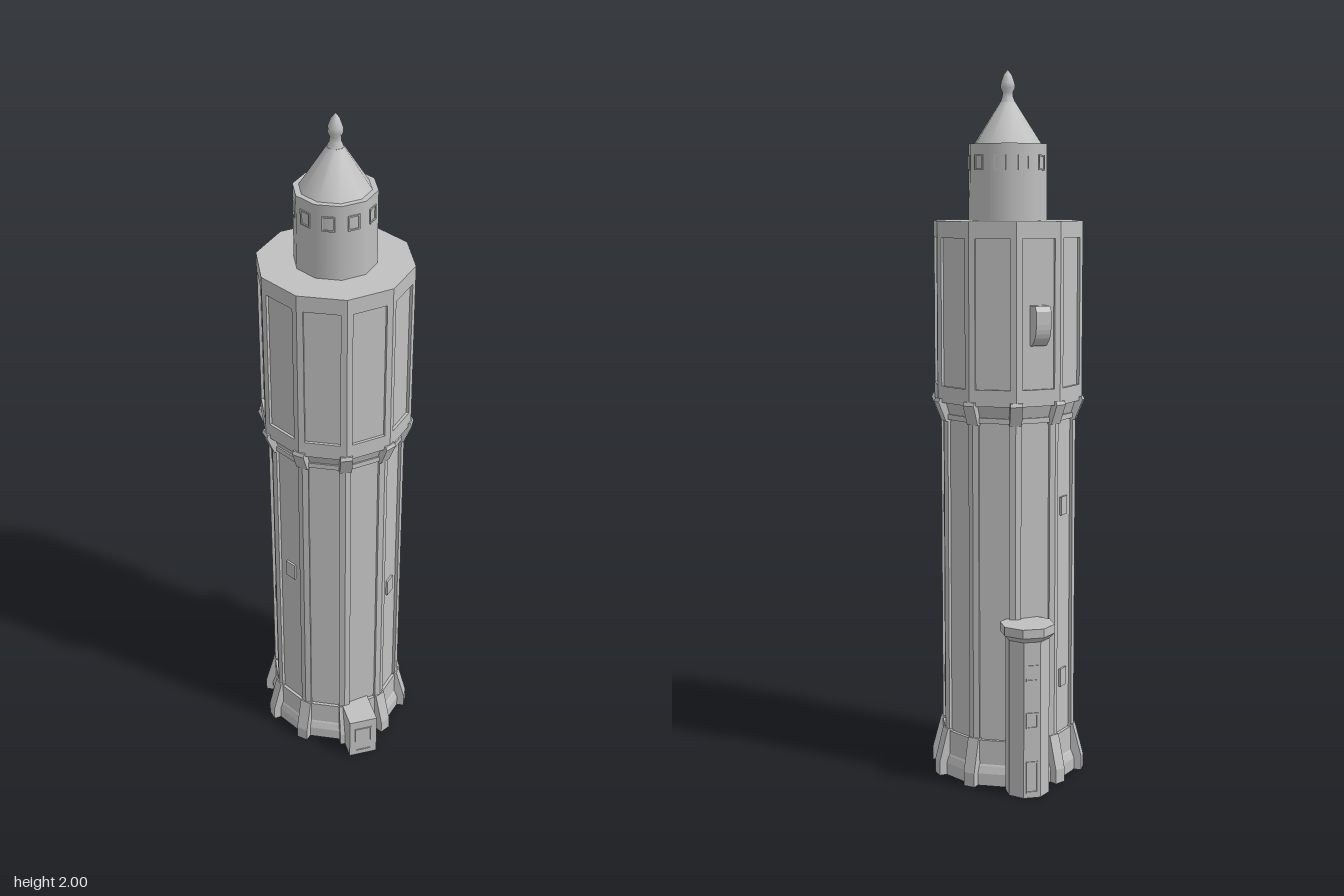
import * as THREE from 'three';

const rad = THREE.MathUtils.degToRad;
const SIDES = 10;
const cos18 = Math.cos(Math.PI / SIDES);

export function createModel() {
  const model = new THREE.Group();
  model.name = 'waterTower';
  const tower = new THREE.Group();
  tower.name = 'tower';
  tower.position.z = 0.0125;
  model.add(tower);

  const stone = new THREE.MeshStandardMaterial({ color: 0xc0c0c0 });
  stone.name = 'greyStone';

  function add(name, geometry, parent = tower) {
    const mesh = new THREE.Mesh(geometry, stone);
    mesh.name = name;
    parent.add(mesh);
    return mesh;
  }

  // Flat-sided prism or frustum between heights y0 and y1
  function prism(name, rBottom, rTop, y0, y1, n = SIDES, start = 18, smooth = false) {
    let g = new THREE.CylinderGeometry(rTop, rBottom, y1 - y0, n, 1, false, rad(start));
    if (!smooth) {
      g = g.toNonIndexed();
      g.computeVertexNormals();
    }
    g.translate(0, (y0 + y1) / 2, 0);
    return add(name, g);
  }

  // Turns a part's +z outward at an angle measured from +x towards +z
  function face(mesh, deg, r, y) {
    mesh.rotation.y = rad(90 - deg);
    mesh.position.set(r * Math.cos(rad(deg)), y, r * Math.sin(rad(deg)));
    return mesh;
  }

  // Rectangular frame with an opening, its back at z = 0
  function frame(w, h, sideMargin, bottom, top, depth) {
    const s = new THREE.Shape();
    s.moveTo(-w / 2, 0).lineTo(w / 2, 0).lineTo(w / 2, h).lineTo(-w / 2, h).closePath();
    const x = w / 2 - sideMargin;
    const hole = new THREE.Path();
    hole.moveTo(-x, bottom).lineTo(-x, h - top).lineTo(x, h - top).lineTo(x, bottom).closePath();
    s.holes.push(hole);
    return new THREE.ExtrudeGeometry(s, { depth, bevelEnabled: false });
  }

  // Radial fin from (radius, height) points
  function fin(points, width) {
    const s = new THREE.Shape(points.map(([x, y]) => new THREE.Vector2(x, y)));
    const g = new THREE.ExtrudeGeometry(s, { depth: width, bevelEnabled: false });
    return g.translate(0, 0, -width / 2);
  }

  // Ten-sided storey: recessed core with a framed panel on every face
  function storey(name, R, y0, y1, bottom, top, recess) {
    const a = R * cos18;
    prism(name + 'Core', R - recess / cos18, R - recess / cos18, y0, y1);
    const side = 2 * R * Math.sin(Math.PI / SIDES);
    for (let i = 0; i < SIDES; i++) {
      const m = add(name + 'PanelFrame', frame(side, y1 - y0, 0.017, bottom, top, recess));
      face(m, 18 + i * 36, a - recess, y0);
    }
  }

  // Main shaft and upper drum
  storey('shaft', 0.196, 0.05, 1.05, 0.08, 0.015, 0.009);
  storey('drum', 0.214, 1.085, 1.585, 0.045, 0.045, 0.008);
  prism('drumRoof', 0.214, 0.214, 1.575, 1.586);
  prism('drumFloor', 0.214, 0.214, 1.084, 1.095);
  prism('drumFlare', 0.188, 0.203, 1.04, 1.085);

  // Stepped plinth
  prism('plinth', 0.206, 0.206, 0, 0.035);
  prism('plinthSlope', 0.206, 0.199, 0.035, 0.055);
  prism('plinthTop', 0.199, 0.19, 0.055, 0.07);

  // Buttresses at the foot and brackets under the drum, one per corner
  const buttress = fin([[0.15, 0], [0.222, 0], [0.222, 0.04], [0.197, 0.135], [0.15, 0.135]], 0.034);
  const bracket = fin([[0.15, 1.03], [0.197, 1.03], [0.219, 1.085], [0.215, 1.095], [0.15, 1.095]], 0.034);
  for (let i = 0; i < SIDES; i++) {
    add('buttress', buttress).rotation.y = -rad(i * 36);
    add('bracket', bracket).rotation.y = -rad(i * 36);
  }

  // Shaft windows: [face angle, height]
  const shaftWindow = new THREE.BoxGeometry(0.034, 0.052, 0.009);
  for (const [deg, y] of [[126, 0.625], [162, 0.98], [162, 0.45], [18, 0.53],
    [-18, 0.78], [-18, 0.275], [198, 0.79], [198, 0.29]]) {
    face(add('shaftWindow', shaftWindow), deg, 0.196 * cos18 - 0.0075, y);
  }

  // Lantern with a ring of windows
  prism('lantern', 0.112, 0.112, 1.58, 1.797, SIDES, 18, true);
  const lanternFrame = frame(0.034, 0.042, 0.004, 0.004, 0.004, 0.004);
  for (let i = 0; i < SIDES; i++) {
    face(add('lanternWindow', lanternFrame), 18 + i * 36, 0.112 * cos18 - 0.001, 1.724);
  }

  // Conical roof and finial
  prism('coneRoof', 0.096, 0.023, 1.797, 1.91, SIDES, 18, true);
  const finialProfile = [[0.023, 1.908], [0.016, 1.925], [0.015, 1.938], [0.021, 1.95],
    [0.02, 1.963], [0.012, 1.985], [0, 2]];
  add('finial', new THREE.LatheGeometry(
    finialProfile.map(([x, y]) => new THREE.Vector2(x, y)), SIDES, rad(18)));

  // Small oriel on the drum with a curved underside
  const oriel = new THREE.Shape();
  oriel.moveTo(0.19, 1.25).lineTo(0.203, 1.25);
  oriel.quadraticCurveTo(0.235, 1.265, 0.236, 1.31);
  oriel.lineTo(0.236, 1.345).lineTo(0.228, 1.36).lineTo(0.19, 1.36).closePath();
  const orielGeometry = new THREE.ExtrudeGeometry(oriel,
    { depth: 0.045, bevelEnabled: false, curveSegments: 6 });
  add('oriel', orielGeometry.translate(0, 0, -0.0225)).rotation.y = -rad(234);

  // Entrance porch with a door
  const porch = new THREE.Group();
  porch.name = 'porch';
  porch.rotation.y = rad(90 - 64);
  porch.position.set(0.127, 0, 0.24);
  tower.add(porch);
  add('porchBlock', new THREE.BoxGeometry(0.085, 0.138, 0.12).translate(0, 0.069, -0.06), porch);
  add('porchDoor', frame(0.052, 0.092, 0.004, 0.004, 0.004, 0.004).translate(0, 0.016, -0.001), porch);

  // Octagonal stair turret at the back
  const tx = -0.098, tz = -0.2075;
  const turretParts = [
    prism('turretBody', 0.062, 0.062, 0, 0.46, 8, 2),
    prism('turretCornice', 0.062, 0.077, 0.445, 0.46, 8, 2),
    prism('turretCap', 0.077, 0.077, 0.46, 0.485, 8, 2),
  ];
  const turretApothem = 0.062 * Math.cos(Math.PI / 8);
  for (const [h, y] of [[0.045, 0.335], [0.045, 0.2], [0.09, 0.015]]) {
    const m = add('turretOpening', frame(0.034, h, 0.004, 0.004, 0.004, 0.004));
    turretParts.push(face(m, 245.5, turretApothem - 0.001, y));
  }
  for (const part of turretParts) {
    part.position.x += tx;
    part.position.z += tz;
  }

  return model;
}
